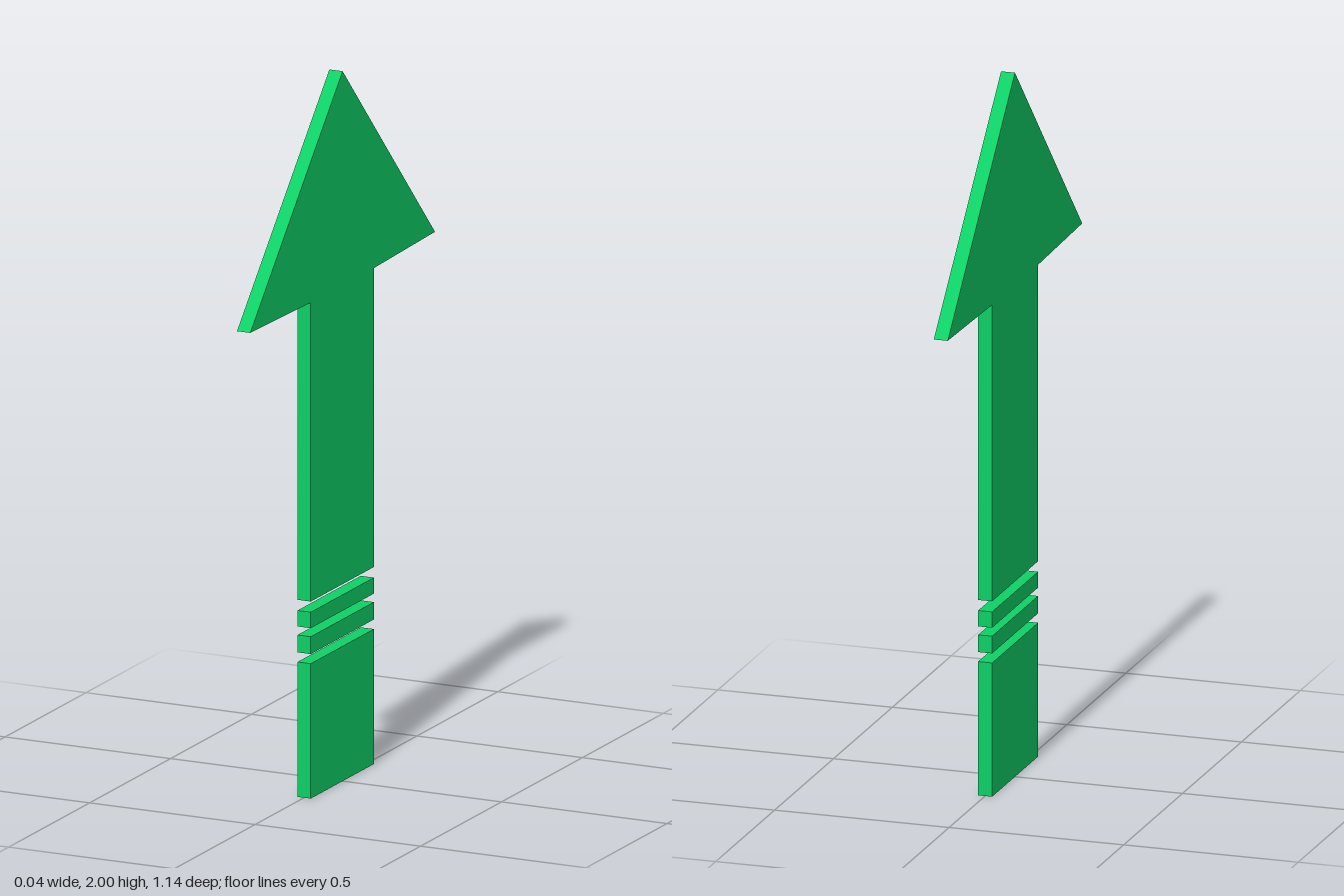
import * as THREE from 'three';

const THICKNESS = 0.04;

export function createModel() {
  const group = new THREE.Group();
  group.name = 'upArrow';
  const material = new THREE.MeshStandardMaterial({ color: 0x0ed066 });

  // Flat plate from a [z, y] outline, extruded evenly about x = 0
  function addPlate(name, outline) {
    const shape = new THREE.Shape(outline.map(([z, y]) => new THREE.Vector2(-z, y)));
    const geometry = new THREE.ExtrudeGeometry(shape, { depth: THICKNESS, bevelEnabled: false });
    geometry.translate(0, 0, -THICKNESS / 2);
    geometry.rotateY(Math.PI / 2);
    const mesh = new THREE.Mesh(geometry, material);
    mesh.name = name;
    group.add(mesh);
  }

  const front = 0.197, back = -0.194; // shaft edges

  // Arrowhead and upper shaft in one piece
  addPlate('arrowhead', [
    [front, 0.555], [back, 0.555], [back, 1.397], [-0.571, 1.405],
    [0, 2], [0.571, 1.405], [front, 1.397],
  ]);

  // Two narrow stripes and the tail block below
  const bars = [
    ['upperStripe', 0.48, 0.525],
    ['lowerStripe', 0.407, 0.456],
    ['tailBlock', 0, 0.38],
  ];
  for (const [name, y0, y1] of bars) {
    addPlate(name, [[front, y0], [back, y0], [back, y1], [front, y1]]);
  }

  return group;
}
